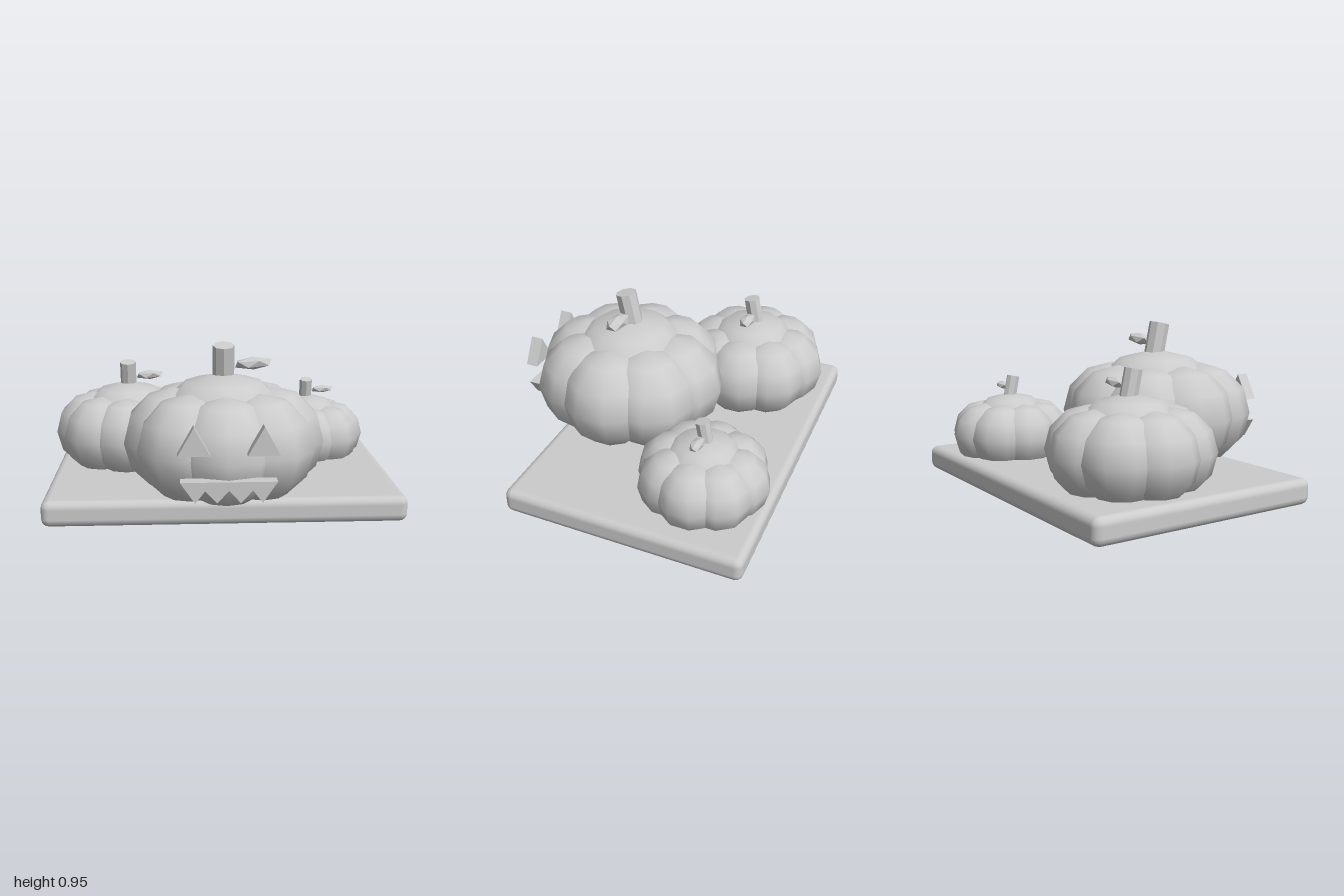
import * as THREE from 'three';
import { RoundedBoxGeometry } from 'three/addons/geometries/RoundedBoxGeometry.js';

const smooth = new THREE.MeshStandardMaterial({ color: 0xcccccc });
const faceted = new THREE.MeshStandardMaterial({ color: 0xcccccc, flatShading: true });

function part(parent, name, geometry, material, x = 0, y = 0, z = 0) {
  const mesh = new THREE.Mesh(geometry, material);
  mesh.name = name;
  mesh.position.set(x, y, z);
  parent.add(mesh);
  return mesh;
}

// Ten-sided ball with a corner facing front
const ball = (r) => new THREE.SphereGeometry(r, 10, 6).rotateY(Math.PI / 2);

// One pumpkin, resting near y = 0, before scaling
function pumpkin(name) {
  const g = new THREE.Group();
  g.name = name;
  const midY = 0.405;

  // Core and ring of eight lobes
  part(g, 'core', ball(1).scale(0.43, 0.375, 0.43), smooth, 0, midY, 0);
  for (let i = 0; i < 8; i++) {
    const a = (i / 8) * Math.PI * 2;
    part(g, 'lobe', ball(0.293), smooth, Math.sin(a) * 0.272, midY, Math.cos(a) * 0.272);
  }

  // Stem leaning forward
  const stem = part(g, 'stem', new THREE.CylinderGeometry(0.06, 0.06, 0.19, 8), faceted, 0, 0.84, 0.005);
  stem.rotation.x = 0.21;

  // Leaf pointing to one side
  const leaf = part(g, 'leaf', new THREE.IcosahedronGeometry(1, 0).rotateZ(-0.55).scale(0.115, 0.036, 0.055),
    faceted, 0.165, 0.83, 0);
  leaf.rotation.z = 0.08;
  return g;
}

// Flat cut-out with depth, back face at z = 0
function plate(points, depth) {
  const shape = new THREE.Shape(points.map(([x, y]) => new THREE.Vector2(x, y)));
  return new THREE.ExtrudeGeometry(shape, { depth, bevelEnabled: false });
}

export function createModel() {
  const model = new THREE.Group();
  model.name = 'pumpkinDisplay';

  // Base board
  part(model, 'board', new RoundedBoxGeometry(1.98, 0.145, 1.365, 2, 0.045), smooth, 0, 0.0725, -0.133);

  // Three pumpkins: x, z, scale
  const layout = [
    ['largePumpkin', 0, 0.24, 1],
    ['mediumPumpkin', -0.557, -0.33, 0.8],
    ['smallPumpkin', 0.56, -0.445, 0.65],
  ];
  for (const [name, x, z, s] of layout) {
    const p = pumpkin(name);
    p.position.set(x, 0, z);
    p.scale.setScalar(s);
    model.add(p);
  }

  // Carved face: triangle eyes and a zigzag mouth
  const face = new THREE.Group();
  face.name = 'face';
  face.position.z = 0.74;
  model.add(face);
  for (const side of [-1, 1]) {
    part(face, side > 0 ? 'leftEye' : 'rightEye',
      plate([[-0.083, 0], [0.083, 0], [0, 0.147]], 0.07), faceted, side * 0.175, 0.463, 0);
  }
  part(face, 'mouth', plate([
    [-0.245, 0.33], [-0.17, 0.22], [-0.12, 0.285], [-0.06, 0.22], [0, 0.285],
    [0.06, 0.22], [0.12, 0.285], [0.17, 0.22], [0.245, 0.33],
  ], 0.07), faceted);

  return model;
}
